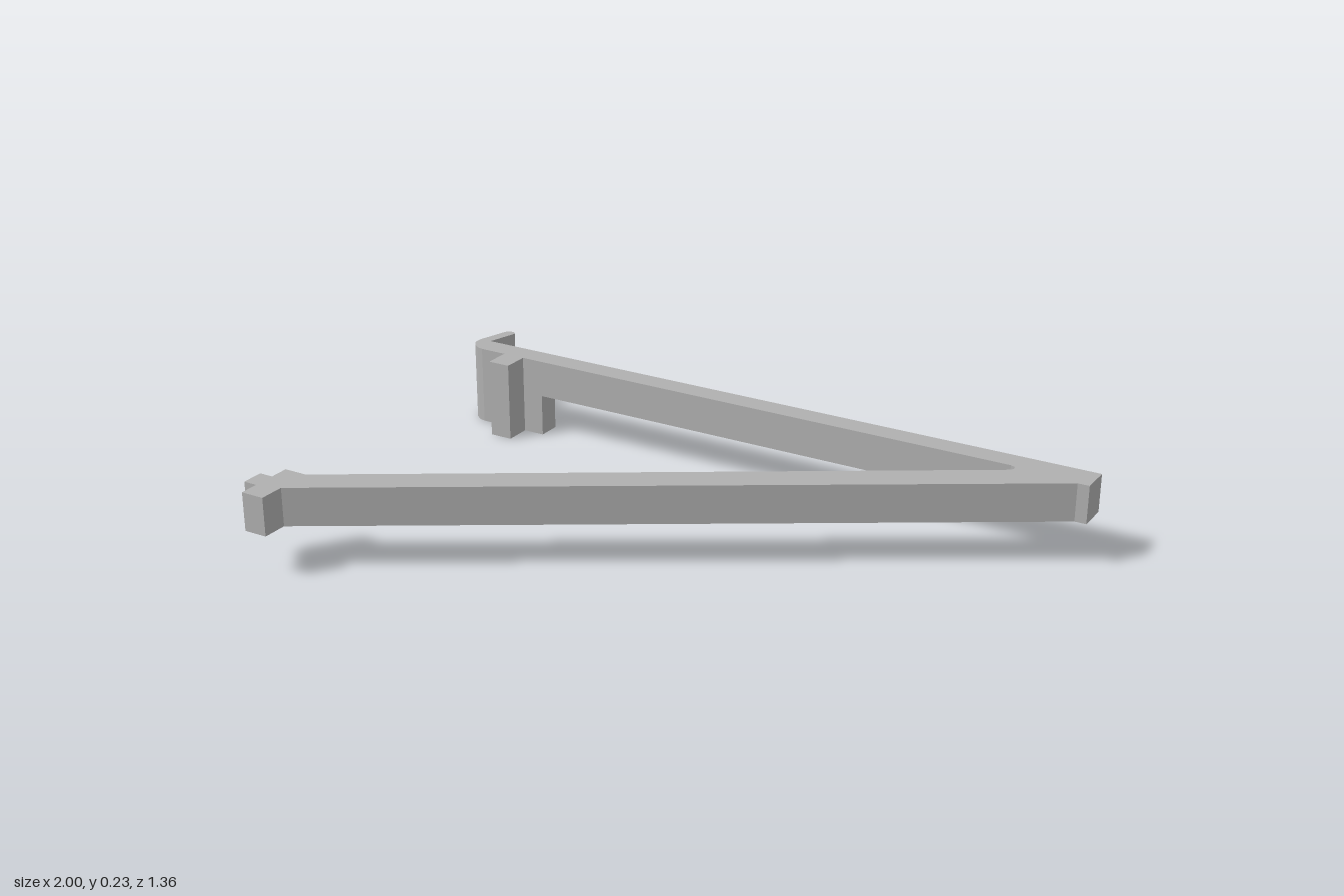
import * as THREE from 'three';

export function createModel() {
  const model = new THREE.Group();
  model.name = 'bracket';
  const grey = new THREE.MeshStandardMaterial({ color: 0xb0b0b0 });
  grey.name = 'grey';

  // Extrude a plan outline of [x, z] points from height y0 to y1
  function addPlate(name, points, y0, y1) {
    const shape = new THREE.Shape(points.map(([x, z]) => new THREE.Vector2(x, -z)));
    const geometry = new THREE.ExtrudeGeometry(shape, { depth: y1 - y0, bevelEnabled: false });
    geometry.rotateX(-Math.PI / 2).translate(0, y0, 0);
    const mesh = new THREE.Mesh(geometry, grey);
    mesh.name = name;
    model.add(mesh);
  }

  const top = 0.235, under = 0.125;
  const back = -0.577, front = -0.508; // faces of the straight arm
  const split = -0.73;                 // where the deep hook end meets the arm

  // Straight arm, diagonal arm and the cross-shaped tip, in one outline
  addPlate('frame', [
    [split, back], [1, back], [1, -0.487], [0.967, -0.487],
    [-0.795, 0.602], [-0.795, 0.675], [-0.863, 0.675],
    [-0.863, 0.62], [-0.903, 0.62], [-0.903, 0.557], [-0.863, 0.557],
    [-0.863, 0.502], [-0.795, 0.502],
    [0.782, -0.479], [0.788, -0.489], [0.786, -0.502], [0.772, front],
    [split, front],
  ], under, top);

  // Full-height end with the curved hook and the square locating boss
  addPlate('hook', [
    [split, back], [split, front],
    [-0.795, front], [-0.795, -0.43], [-0.863, -0.43], [-0.863, front],
    [-0.945, front], [-0.965, -0.513], [-0.985, -0.529], [-0.998, -0.55], [-0.998, -0.575],
    [-0.973, -0.66], [-0.967, -0.675], [-0.955, -0.68], [-0.942, -0.678], [-0.936, -0.668],
    [-0.962, back],
  ], 0, top);

  return model;
}
